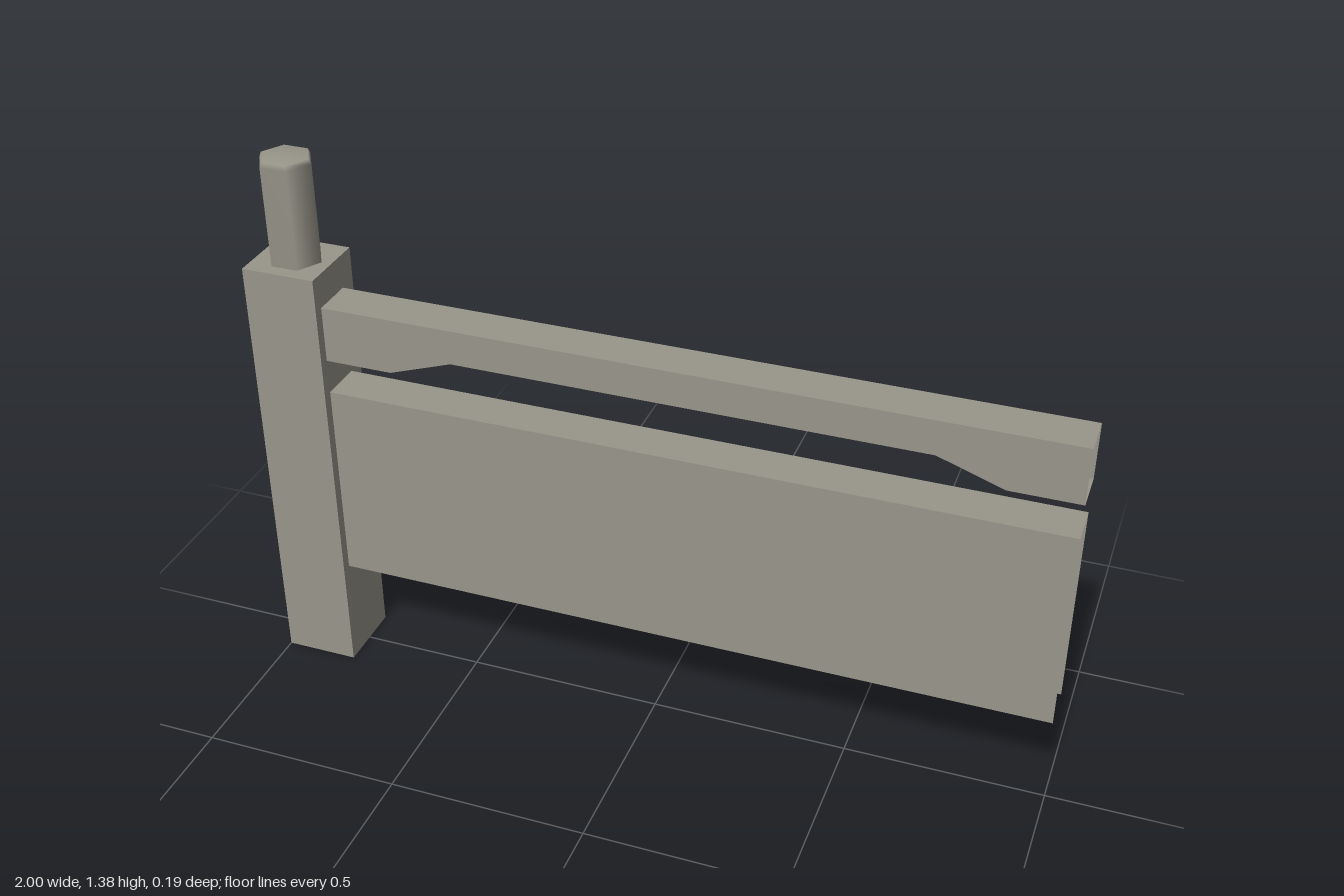
import * as THREE from 'three';

// Skin quads between consecutive cross-sections (open shells, flat faces)
function loft(sections, closed) {
  const pos = [];
  for (let i = 0; i < sections.length - 1; i++) {
    const s = sections[i], t = sections[i + 1], n = s.length;
    for (let j = 0; j < (closed ? n : n - 1); j++) {
      const k = (j + 1) % n;
      pos.push(...s[j], ...t[j], ...t[k], ...s[j], ...t[k], ...s[k]);
    }
  }
  const geometry = new THREE.BufferGeometry();
  geometry.setAttribute('position', new THREE.Float32BufferAttribute(pos, 3));
  geometry.computeVertexNormals();
  return geometry;
}

export function createModel() {
  const model = new THREE.Group();
  model.name = 'railingSection';
  const stone = new THREE.MeshStandardMaterial({ color: 0x99968a, side: THREE.DoubleSide });
  stone.name = 'greyStone';

  const add = (name, geometry, parent = model) => {
    const mesh = new THREE.Mesh(geometry, stone);
    mesh.name = name;
    parent.add(mesh);
    return mesh;
  };

  const zFront = 0.067, zBack = -0.043;
  const span = (x, y0, y1) => [[x, y0, zFront], [x, y1, zFront], [x, y1, zBack], [x, y0, zBack]];

  // Post: hollow below, with a flat top
  const post = new THREE.Group();
  post.name = 'post';
  post.position.x = -0.907;
  model.add(post);
  const h = 0.093, postTop = 1.117;
  const ring = (y) => [[h, y, h], [-h, y, h], [-h, y, -h], [h, y, -h]];
  add('postSides', loft([ring(0), ring(postTop)], true), post);
  add('postTop', new THREE.PlaneGeometry(2 * h, 2 * h).rotateX(-Math.PI / 2), post).position.y = postTop;

  // Six-sided peg with softly shaded sides and a small bevel
  const profile = [[0.0675, postTop], [0.0675, 1.368], [0.062, 1.38], [0, 1.381]]
    .map(([r, y]) => new THREE.Vector2(r, y));
  add('peg', new THREE.LatheGeometry(profile, 6, Math.PI / 2), post);

  // Top rail: open-ended tube, deeper at both ends
  const underside = [[-0.815, 0.89], [-0.645, 0.89], [-0.485, 0.945], [0.67, 0.945], [0.83, 0.89], [1, 0.89]];
  add('topRail', loft(underside.map(([x, y]) => span(x, y, 1.033)), true));

  // Panel: front, top and back only
  add('panel', loft([span(-0.815, 0.282, 0.802), span(1, 0.282, 0.802)], false));

  return model;
}
